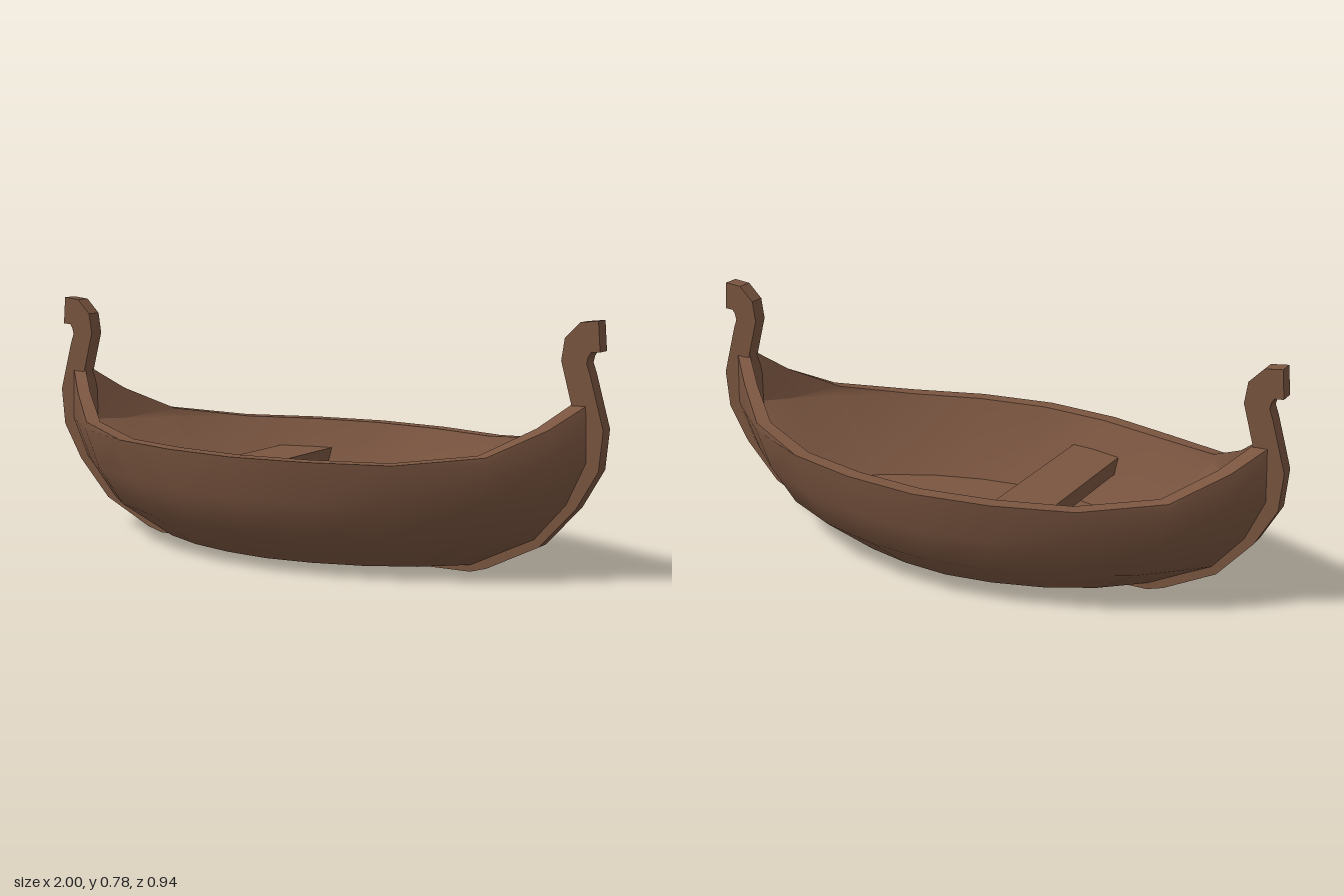
import * as THREE from 'three';
import { toCreasedNormals } from 'three/addons/utils/BufferGeometryUtils.js';

const wood = new THREE.MeshStandardMaterial({ color: 0x7a5540 });
wood.name = 'brown wood';

// Plan outline from the stem (1, 0) to midship (0, 1), with the rise of the sheer
const PLAN = [[1, 0, 0.187], [0.892, 0.225, 0.1], [0.75, 0.5, 0.025], [0.505, 0.777, 0], [0.254, 0.936, 0], [0, 1, 0]];

// Waterlines: height, half length, half width, share of the sheer rise
const WATERLINES = [
  [0.022, 0, 0, 0], [0.022, 0.61, 0.272, 0], [0.122, 0.815, 0.394, 0], [0.236, 0.915, 0.442, 0],
  [0.365, 0.975, 0.468, 0], [0.365, 0.97, 0.468, 1],  // outer skin up to the gunwale
  [0.365, 0.92, 0.417, 1], [0.36, 0.915, 0.416, 0],   // over the rim
  [0.122, 0.65, 0.29, 0], [0.122, 0, 0, 0],           // straight inner wall and floor
];

function waterline([y, length, width, rise]) {
  const side = (sx, sz) => PLAN.map(([x, z, r]) => new THREE.Vector3(sx * x * length, y + r * rise, sz * z * width));
  return [
    ...side(1, 1), ...side(-1, 1).reverse().slice(1),
    ...side(-1, -1).slice(1), ...side(1, -1).reverse().slice(1),
  ];
}

function hullGeometry() {
  const rings = WATERLINES.map(waterline);
  const positions = [];
  const triangle = (a, b, c) => {
    if (new THREE.Triangle(a, b, c).getArea() < 1e-7) return;
    for (const p of [a, b, c]) positions.push(p.x, p.y, p.z);
  };
  for (let i = 0; i < rings.length - 1; i++) {
    const low = rings[i], high = rings[i + 1];
    for (let k = 0; k < low.length - 1; k++) {
      triangle(low[k], high[k], low[k + 1]);
      triangle(low[k + 1], high[k], high[k + 1]);
    }
  }
  const geometry = new THREE.BufferGeometry();
  geometry.setAttribute('position', new THREE.Float32BufferAttribute(positions, 3));
  return toCreasedNormals(geometry, 0.6);
}

// Keel and one curled stem, outer edge upward then inner edge back down
const STEM = [
  [0.58, 0], [0.635, 0.016], [0.805, 0.1], [0.92, 0.225], [0.988, 0.342], [1, 0.463],
  [0.955, 0.625], [0.944, 0.655], [0.949, 0.675], [0.957, 0.688], [0.985, 0.69], [0.978, 0.78],
  [0.922, 0.774], [0.875, 0.727], [0.865, 0.66], [0.9, 0.53],
  [0.885, 0.46], [0.885, 0.36], [0.835, 0.25], [0.745, 0.14], [0.58, 0.05],
];

function slab(points, depth) {
  const shape = new THREE.Shape(points.map(([x, y]) => new THREE.Vector2(x, y)));
  const geometry = new THREE.ExtrudeGeometry(shape, { depth, bevelEnabled: false });
  geometry.translate(0, 0, -depth / 2);
  return toCreasedNormals(geometry, 0.6);
}

export function createModel() {
  const boat = new THREE.Group();
  boat.name = 'boat';
  const add = (name, geometry) => {
    const mesh = new THREE.Mesh(geometry, wood);
    mesh.name = name;
    boat.add(mesh);
    return mesh;
  };

  add('hull', hullGeometry());

  // One timber runs along the bottom and up both ends
  const mirrored = STEM.map(([x, y]) => [-x, y]).reverse();
  add('keelAndStems', slab([...STEM, ...mirrored], 0.052));

  // Bench plank, its ends let into the sloping hull sides
  const edge = [[-0.32, 0.33], [-0.22, 0.36], [-0.138, 0.37]];
  const outline = [...edge, ...edge.map(([x, z]) => [x, -z]).reverse()];
  const bench = add('bench', slab(outline, 0.05));
  bench.rotation.x = -Math.PI / 2;
  bench.position.y = 0.25;

  return boat;
}
